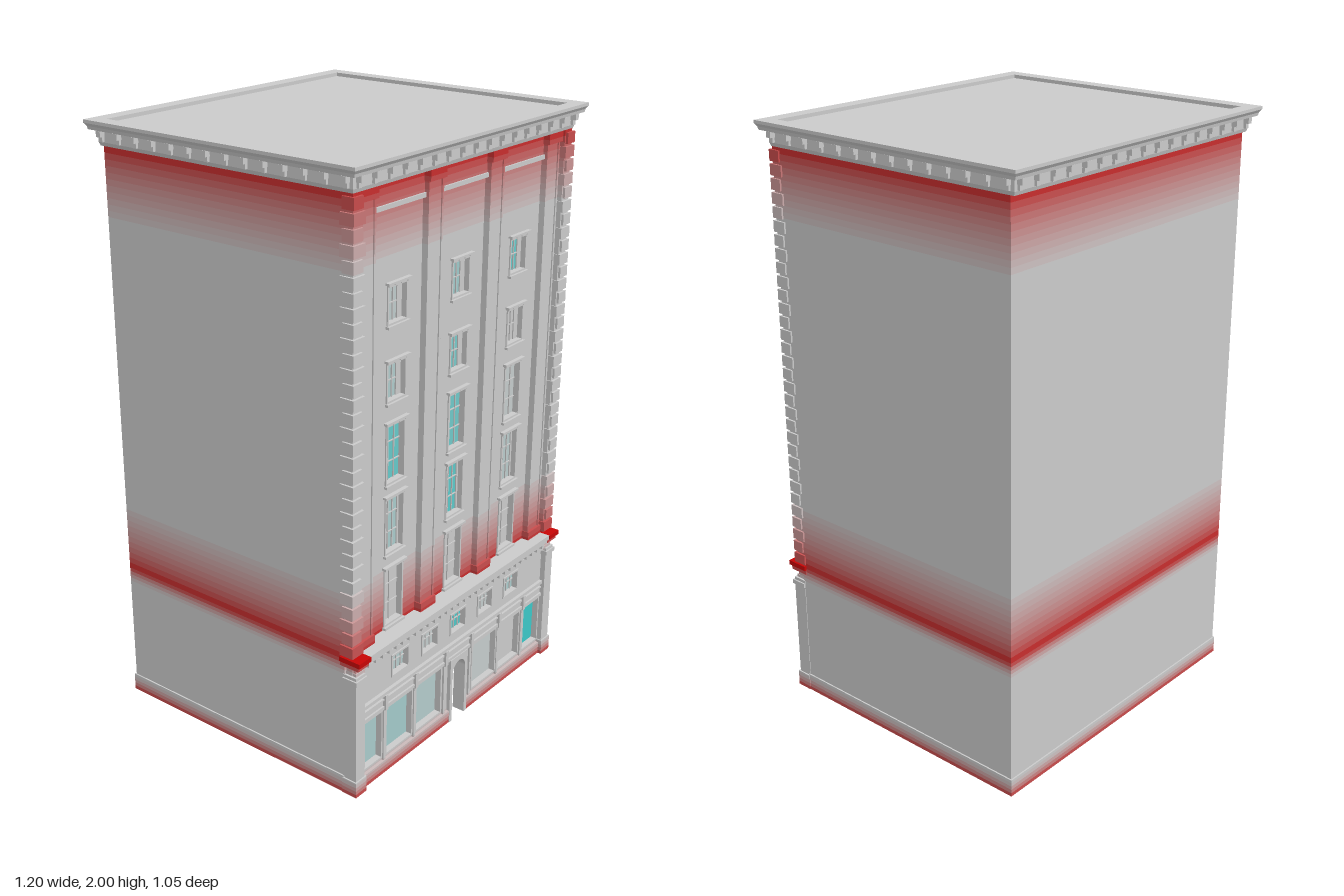
import * as THREE from 'three';

const GREY = 0xcccccc, RED = 0xc80606, TEAL = 0x22c8c8;
const materials = new Map();
function material(hex) {
  if (!materials.has(hex)) {
    materials.set(hex, new THREE.MeshStandardMaterial({ color: hex, side: THREE.DoubleSide }));
  }
  return materials.get(hex);
}
const mix = (a, b, t) => new THREE.Color(a).lerp(new THREE.Color(b), t).getHex();

// Red weathering: [height, strength], linear in between
const KNOTS = [[0, 1], [0.05, 0], [0.43, 0], [0.48, 1], [0.72, 0], [1.68, 0], [1.92, 1]];
function tint(y) {
  for (let i = 1; i < KNOTS.length; i++) {
    const [ya, a] = KNOTS[i - 1], [yb, b] = KNOTS[i];
    if (y <= yb) return mix(GREY, RED, a + (b - a) * (y - ya) / (yb - ya));
  }
  return RED;
}
const CUTS = [];
KNOTS.slice(1).forEach(([yb, b], i) => {
  const [ya, a] = KNOTS[i];
  const steps = a === b ? 1 : Math.max(4, Math.round((yb - ya) / 0.02));
  for (let s = 0; s <= steps; s++) CUTS.push(ya + (yb - ya) * s / steps);
});

function box(parent, name, x0, x1, y0, y1, z0, z1, color = GREY) {
  const mesh = new THREE.Mesh(new THREE.BoxGeometry(x1 - x0, y1 - y0, z1 - z0), material(color));
  mesh.position.set((x0 + x1) / 2, (y0 + y1) / 2, (z0 + z1) / 2);
  mesh.name = name;
  parent.add(mesh);
}

function group(parent, name) {
  const g = new THREE.Group();
  g.name = name;
  parent.add(g);
  return g;
}

// Wall of horizontal strips, tinted by height, leaving openings [x0, x1, y0, y1]
function wall(parent, name, x0, x1, y0, y1, z0, z1, openings = []) {
  const g = group(parent, name);
  const ys = [y0, y1, ...CUTS, ...openings.flatMap(o => [o[2], o[3]])]
    .filter(y => y >= y0 && y <= y1).sort((a, b) => a - b);
  for (let i = 1; i < ys.length; i++) {
    if (ys[i] - ys[i - 1] < 1e-4) continue;
    const mid = (ys[i] + ys[i - 1]) / 2;
    let x = x0;
    const row = openings.filter(o => o[2] < mid && o[3] > mid).sort((a, b) => a[0] - b[0]);
    for (const o of [...row, [x1, x1]]) {
      if (o[0] - x > 1e-4) box(g, name + 'Strip', x, o[0], ys[i - 1], ys[i], z0, z1, tint(mid));
      x = o[1];
    }
  }
}

// Moulding run round a rectangle; profile points are [outward offset, y]
function moulding(hx, hz, profile) {
  const corners = [[1, 1], [1, -1], [-1, -1], [-1, 1]];
  const pos = [];
  const at = (c, [o, y]) => [c[0] * (hx + o), y, c[1] * (hz + o)];
  for (let i = 1; i < profile.length; i++) {
    corners.forEach((c, k) => {
      const n = corners[(k + 1) % 4], p = profile[i - 1], q = profile[i];
      pos.push(...at(c, p), ...at(n, p), ...at(n, q), ...at(c, p), ...at(n, q), ...at(c, q));
    });
  }
  const geo = new THREE.BufferGeometry();
  geo.setAttribute('position', new THREE.Float32BufferAttribute(pos, 3));
  geo.computeVertexNormals();
  return geo;
}

// Framed, recessed window with glazing bars; glass is the teal strength
function makeWindow(parent, o, zFront, glass, cols, rows, glassShare = 1) {
  const [x0, x1, y0, y1] = o, g = group(parent, 'window'), f = 0.006;
  const zb = zFront - 0.018, mid = (x0 + x1) / 2, half = (x1 - x0) / 2 * glassShare;
  box(g, 'glass', mid - half, mid + half, y0, y1, zb - 0.002, zb, mix(GREY, TEAL, glass));
  for (const [a, b] of [[x0, mid - half], [mid + half, x1]]) {
    if (b - a > 0.001) box(g, 'casement', a, b, y0, y1, zb - 0.002, zb + 0.004);
  }
  for (const x of [x0, x1 - f]) box(g, 'frame', x, x + f, y0, y1, zb, zFront + 0.004);
  for (const y of [y0, y1 - f]) box(g, 'frame', x0, x1, y, y + f, zb, zFront + 0.004);
  for (let i = 1; i < cols; i++) {
    const x = mid - half + 2 * half * i / cols;
    box(g, 'glazingBar', x - 0.0015, x + 0.0015, y0, y1, zb, zb + 0.004);
  }
  for (let i = 1; i < rows; i++) {
    const y = y0 + (y1 - y0) * i / rows;
    box(g, 'glazingBar', mid - half, mid + half, y - 0.0015, y + 0.0015, zb, zb + 0.004);
  }
}

export function createModel() {
  const model = new THREE.Group();
  model.name = 'building';

  // Plain side and back walls with plinth
  for (const s of [-1, 1]) {
    const xs = [s * 0.555, s * 0.565].sort((a, b) => a - b);
    const ps = [s * 0.555, s * 0.57].sort((a, b) => a - b);
    wall(model, 'sideWall', ...xs, 0, 1.93, -0.475, 0.46);
    wall(model, 'sidePlinth', ...ps, 0, 0.06, -0.48, 0.46);
  }
  wall(model, 'backWall', -0.565, 0.565, 0, 1.93, -0.475, -0.465);
  wall(model, 'backPlinth', -0.57, 0.57, 0, 0.06, -0.48, -0.465);

  // Upper facade: five rows of three windows
  const ZU = 0.455, upper = [];
  const rows = [
    { y: [0.50, 0.70], glass: [0.05, 0.02, 0.02], grid: [2, 3], share: 1 },
    { y: [0.75, 0.94], glass: [0.35, 0.85, 0.2], grid: [3, 3], share: 0.7 },
    { y: [0.985, 1.18], glass: [0.8, 0.75, 0.08], grid: [3, 3], share: 0.9 },
    { y: [1.25, 1.375], glass: [0.3, 0.7, 0], grid: [2, 2], share: 0.4 },
    { y: [1.49, 1.61], glass: [0.15, 0.45, 0.8], grid: [2, 2], share: 0.4 },
  ];
  for (const r of rows) {
    [-0.32, 0, 0.32].forEach((x, i) => {
      const o = [x - 0.048, x + 0.048, ...r.y];
      upper.push(o);
      makeWindow(model, o, ZU, r.glass[i], ...r.grid, r.share);
      box(model, 'windowSill', x - 0.052, x + 0.052, r.y[0] - 0.008, r.y[0], ZU, ZU + 0.012);
      box(model, 'windowHood', x - 0.056, x + 0.056, r.y[1] + 0.004, r.y[1] + 0.011, ZU, ZU + 0.014);
      for (const dx of [-0.045, -0.015, 0.015, 0.045]) {
        box(model, 'hoodBlock', x + dx - 0.004, x + dx + 0.004, r.y[1] - 0.002, r.y[1] + 0.004, ZU, ZU + 0.009);
      }
    });
  }
  wall(model, 'upperWall', -0.56, 0.56, 0.48, 1.93, ZU - 0.02, ZU, upper);

  // Pilasters with bases and capitals
  for (const x of [-0.485, -0.165, 0.155, 0.475]) {
    wall(model, 'pilaster', x - 0.03, x + 0.03, 0.49, 1.9, ZU, 0.472);
    for (const s of [-1, 1]) wall(model, 'pilasterEdge', x + s * 0.033 - 0.004, x + s * 0.033 + 0.004, 0.49, 1.89, ZU, 0.476);
    wall(model, 'pilasterBase', x - 0.04, x + 0.04, 0.49, 0.52, ZU, 0.482);
    wall(model, 'pilasterCapital', x - 0.04, x + 0.04, 1.885, 1.92, ZU, 0.484);
  }
  for (const x of [-0.325, -0.005, 0.315]) {
    box(model, 'bayMoulding', x - 0.123, x + 0.123, 1.838, 1.852, ZU, ZU + 0.012);
    wall(model, 'bayFrieze', x - 0.123, x + 0.123, 1.852, 1.92, ZU, ZU + 0.006);
  }

  // Rusticated corner strips
  for (const s of [-1, 1]) {
    const cs = [s * 0.522, s * 0.564].sort((a, b) => a - b);
    wall(model, 'cornerStrip', ...cs, 0.48, 1.92, ZU - 0.01, 0.487);
    for (let i = 0; i < 32; i++) {
      const y = 0.495 + i * 0.0445, long = i % 2 === 0;
      const bs = [s * (long ? 0.518 : 0.528), s * 0.571].sort((a, b) => a - b);
      box(model, 'cornerBlock', ...bs, y, y + 0.036, long ? 0.445 : 0.453, 0.495, tint(y + 0.018));
    }
  }

  // Ground floor: shop windows, mezzanine windows, arched doorway
  const ZL = 0.487;
  const shops = [[-0.52, -0.412, 0.35], [-0.396, -0.25, 0.4], [-0.236, -0.088, 0.25],
    [0.088, 0.24, 0.08], [0.25, 0.39, 0.03], [0.41, 0.518, 0.95]];
  const lower = [[-0.045, 0.045, 0, 0.24]];
  for (const [a, b, glass] of shops) {
    const o = [a, b, 0.055, 0.235];
    lower.push(o);
    makeWindow(model, o, ZL, glass, 1, 1);
  }
  [-0.32, -0.16, 0, 0.16, 0.32].forEach((x, i) => {
    const o = [x - 0.046, x + 0.046, 0.33, 0.41];
    lower.push(o);
    makeWindow(model, o, ZL, [0.25, 0.1, 0.9, 0.1, 0.35][i], 4, 2);
  });
  wall(model, 'lowerWall', -0.56, 0.56, 0, 0.48, ZL - 0.025, ZL, lower);
  for (const s of [-1, 1]) {
    const xs = [s * 0.05, s * 0.565].sort((a, b) => a - b);
    wall(model, 'frontPlinth', ...xs, 0, 0.045, ZL, 0.498);
  }

  const door = new THREE.Shape([[-0.05, 0], [-0.036, 0], [-0.036, 0.185]].map(p => new THREE.Vector2(...p)));
  door.absarc(0, 0.185, 0.036, Math.PI, 0, true);
  door.lineTo(0.036, 0).lineTo(0.05, 0).lineTo(0.05, 0.24).lineTo(-0.05, 0.24);
  const doorway = new THREE.Mesh(
    new THREE.ExtrudeGeometry(door, { depth: 0.045, bevelEnabled: false, curveSegments: 14 }), material(GREY));
  doorway.position.z = 0.455;
  doorway.name = 'archedDoorway';
  model.add(doorway);

  // Shopfront fascia and its consoles
  for (const [y0, y1, z] of [[0.238, 0.25, 0.497], [0.25, 0.27, 0.491], [0.27, 0.276, 0.496], [0.288, 0.3, 0.499]]) {
    box(model, 'shopFascia', -0.52, 0.52, y0, y1, ZL, z);
  }
  for (const x of [-0.404, -0.243, -0.075, 0.075, 0.245, 0.4]) {
    box(model, 'fasciaConsole', x - 0.007, x + 0.007, 0.235, 0.29, ZL, 0.502);
    wall(model, 'shopPilaster', x - 0.005, x + 0.005, 0, 0.238, ZL, 0.494);
  }

  // Corner piers
  for (const s of [-1, 1]) {
    const pier = (name, inner, outer, y0, y1, z) =>
      wall(model, name, ...[s * inner, s * outer].sort((a, b) => a - b), y0, y1, 0.455, z);
    pier('cornerPier', 0.522, 0.567, 0, 0.43, 0.506);
    pier('pierBase', 0.518, 0.572, 0, 0.055, 0.511);
    pier('pierCap', 0.518, 0.572, 0.405, 0.42, 0.511);
  }

  // String course above the ground floor, weathered at its ends
  for (const [y0, y1, z] of [[0.425, 0.44, 0.497], [0.44, 0.458, 0.493], [0.458, 0.474, 0.512], [0.474, 0.49, 0.52]]) {
    box(model, 'stringCourse', -0.515, 0.515, y0, y1, 0.44, z);
    for (const s of [-1, 1]) {
      const xs = [s * 0.515, s * (0.555 + (z - 0.49) * 0.6)].sort((a, b) => a - b);
      box(model, 'stringCourseEnd', ...xs, y0, y1, 0.445, z + 0.003, tint(Math.min(y1, 0.48)));
    }
  }
  for (let i = 0; i < 30; i++) {
    const x = -0.4988 + i * 0.0344;
    box(model, 'stringCourseBlock', x - 0.006, x + 0.006, 0.44, 0.458, 0.48, 0.507);
  }

  // Roof cornice with brackets on all sides, and sunken roof
  const cornice = new THREE.Mesh(moulding(0.55, 0.472, [
    [-0.01, 1.92], [0.016, 1.92], [0.02, 1.932], [0.02, 1.968], [0.041, 1.97], [0.043, 1.98],
    [0.05, 1.99], [0.05, 2], [0, 2], [0, 1.988],
  ]), material(GREY));
  cornice.name = 'cornice';
  model.add(cornice);
  box(model, 'roof', -0.55, 0.55, 1.978, 1.988, -0.472, 0.472);
  for (const s of [-1, 1]) {
    for (const [half, face, turn] of [[0.55, 0.492, 0], [0.472, 0.57, Math.PI / 2]]) {
      const side = group(model, 'corniceBrackets');
      side.rotation.y = turn + (s < 0 ? Math.PI : 0);
      const n = Math.round(2 * half / 0.07);
      for (let i = 0; i <= n; i++) {
        const x = -half + 2 * half * i / n;
        box(side, 'bracket', x - 0.009, x + 0.009, 1.95, 1.969, face, face + 0.019);
        box(side, 'bracketFoot', x - 0.007, x + 0.007, 1.934, 1.95, face, face + 0.009);
      }
    }
  }
  return model;
}
